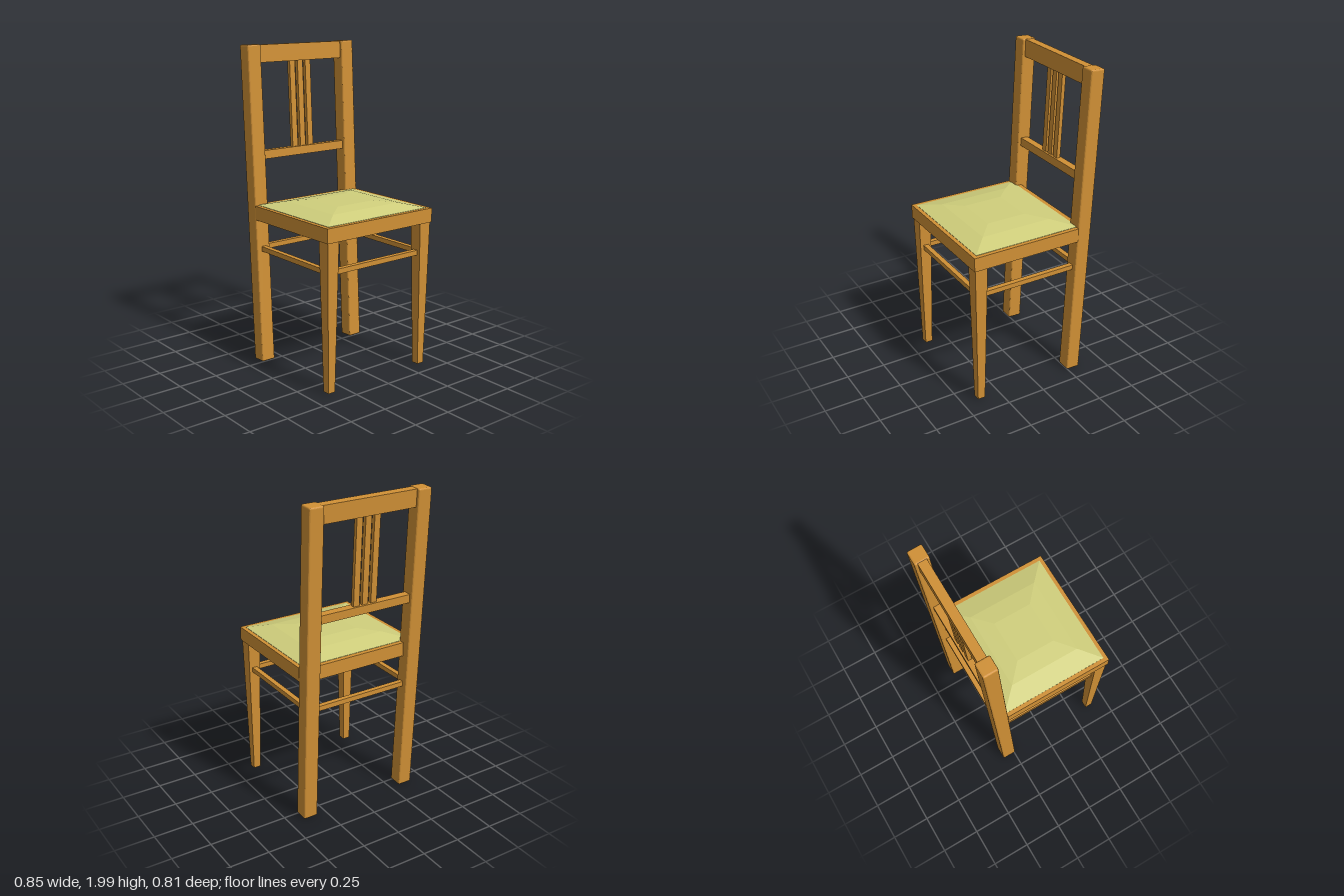
import * as THREE from 'three';
import { RoundedBoxGeometry } from 'three/addons/geometries/RoundedBoxGeometry.js';

const wood = new THREE.MeshStandardMaterial({ color: 0xd09035, flatShading: true });
const fabric = new THREE.MeshStandardMaterial({ color: 0xd0cf7c, flatShading: true });

function add(parent, name, geometry, x, y, z, material = wood) {
  const mesh = new THREE.Mesh(geometry, material);
  mesh.name = name;
  mesh.position.set(x, y, z);
  parent.add(mesh);
  return mesh;
}

// Box given by its extents along each axis
function bar(parent, name, [x0, x1], [y0, y1], [z0, z1]) {
  return add(parent, name, new THREE.BoxGeometry(x1 - x0, y1 - y0, z1 - z0),
    (x0 + x1) / 2, (y0 + y1) / 2, (z0 + z1) / 2);
}

// Square leg narrowing towards the floor
function taperedLeg(top, bottom, height) {
  const g = new THREE.BoxGeometry(top, height, top);
  const p = g.attributes.position;
  for (let i = 0; i < p.count; i++) {
    if (p.getY(i) < 0) {
      p.setX(i, p.getX(i) * bottom / top);
      p.setZ(i, p.getZ(i) * bottom / top);
    }
  }
  g.computeVertexNormals();
  return g;
}

// Faceted pad lofted through rectangles [x0, x1, halfDepth, y], closed at both ends
function loftedPad(rings) {
  const pos = [], idx = [];
  for (const [x0, x1, d, y] of rings) pos.push(x0, y, d, x1, y, d, x1, y, -d, x0, y, -d);
  for (let r = 0; r < rings.length - 1; r++) {
    for (let i = 0; i < 4; i++) {
      const a = r * 4 + i, b = r * 4 + (i + 1) % 4;
      idx.push(a, b, b + 4, a, b + 4, a + 4);
    }
  }
  const t = (rings.length - 1) * 4;
  idx.push(t, t + 1, t + 2, t, t + 2, t + 3, 0, 2, 1, 0, 3, 2);
  const g = new THREE.BufferGeometry();
  g.setAttribute('position', new THREE.Float32BufferAttribute(pos, 3));
  g.setIndex(idx);
  const flat = g.toNonIndexed();
  flat.computeVertexNormals();
  return flat;
}

export function createModel() {
  const chair = new THREE.Group();
  chair.name = 'chair';

  // Leaning back: everything here is upright in a tilted group centred at mid height
  const back = new THREE.Group();
  back.name = 'backrest';
  back.position.set(-0.335, 1, 0);
  back.rotation.z = 0.0475;
  chair.add(back);
  for (const s of [1, -1]) {
    add(back, 'rearPost', new RoundedBoxGeometry(0.092, 1.99, 0.094, 2, 0.01), 0, 0, s * 0.359);
  }
  bar(back, 'topRail', [-0.028, 0.028], [0.885, 0.992], [-0.32, 0.32]);
  bar(back, 'lowerBackRail', [-0.025, 0.025], [0.295, 0.348], [-0.32, 0.32]);
  for (const z of [-0.06, 0, 0.06]) {
    bar(back, 'backSlat', [-0.0125, 0.0125], [0.34, 0.89], [z - 0.02, z + 0.02]);
  }

  // Seat frame
  const seatY = [0.93, 1.018];
  bar(chair, 'frontSeatRail', [0.345, 0.425], seatY, [-0.406, 0.406]);
  bar(chair, 'rearSeatRail', [-0.33, -0.24], seatY, [-0.325, 0.325]);
  for (const s of [1, -1]) {
    const z = s > 0 ? [0.326, 0.406] : [-0.406, -0.326];
    bar(chair, 'sideSeatRail', [-0.29, 0.345], seatY, z);
  }

  // Cushion
  add(chair, 'cushion', loftedPad([
    [-0.30, 0.40, 0.38, 1.0],
    [-0.30, 0.40, 0.38, 1.02],
    [-0.175, 0.285, 0.255, 1.05],
    [-0.07, 0.185, 0.14, 1.062],
  ]), 0, 0, 0, fabric);

  // Front legs and side stretchers
  for (const s of [1, -1]) {
    add(chair, 'frontLeg', taperedLeg(0.082, 0.048, 0.93), 0.377, 0.475, s * 0.358);
    bar(chair, 'sideStretcher', [-0.31, 0.36], [0.727, 0.758], [s * 0.358 - 0.016, s * 0.358 + 0.016]);
  }
  // Front and rear stretchers
  for (const x of [0.377, -0.322]) {
    bar(chair, 'crossStretcher', [x - 0.016, x + 0.016], [0.727, 0.758], [-0.34, 0.34]);
  }
  return chair;
}
